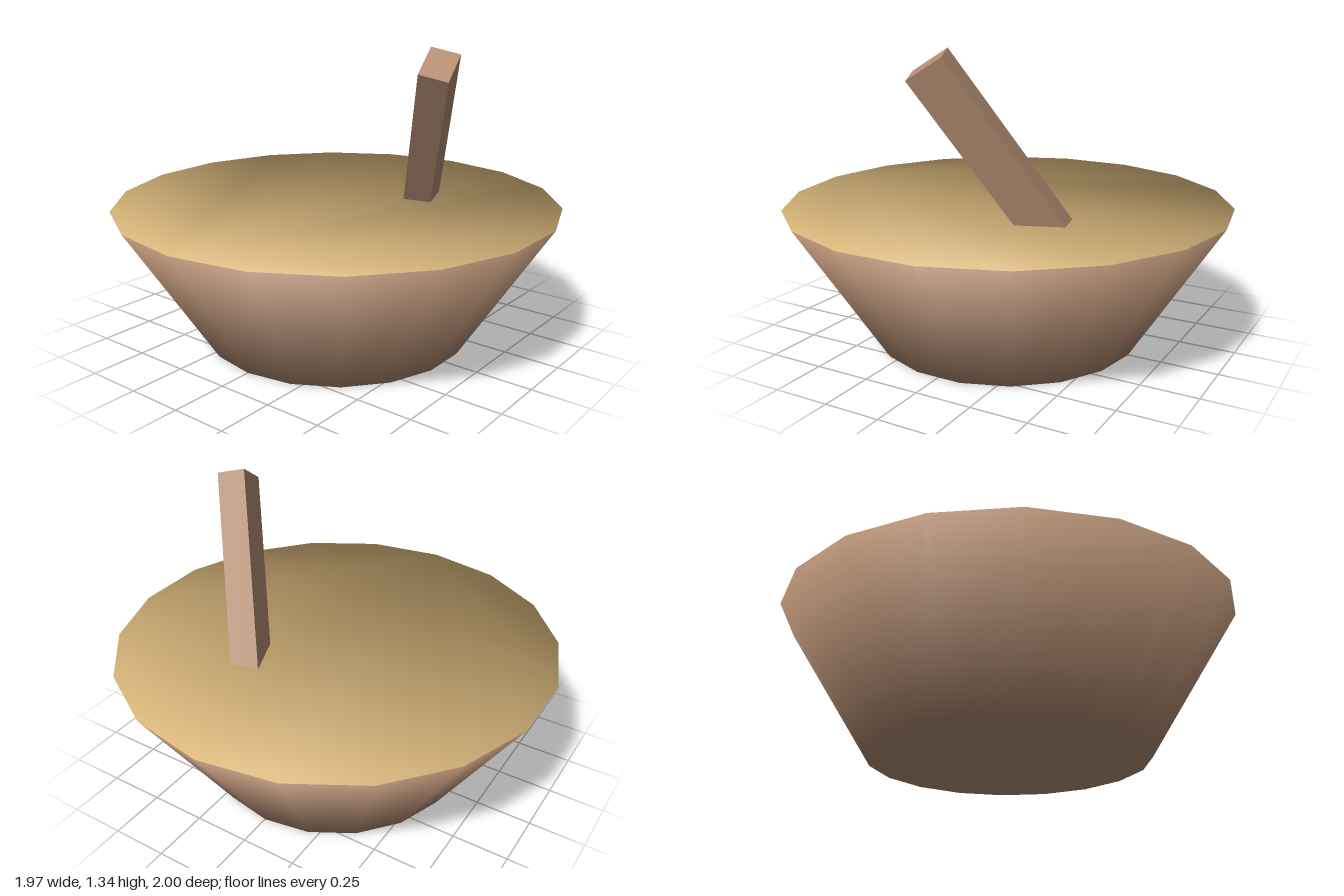
import * as THREE from 'three';

const SIDES = 18;

function flat(name, color) {
  const m = new THREE.MeshStandardMaterial({ color });
  m.name = name;
  return m;
}

// Closed tapered bowl; normals are shared across rim and base so every face shades softly
function bowlGeometry(topRadius, baseRadius, height) {
  const pos = [], nor = [], side = [], lid = [], base = [];
  for (const [r, y, out, up] of [[topRadius, height, 0.894, 0.447], [baseRadius, 0, 0.519, -0.855]]) {
    for (let i = 0; i < SIDES; i++) {
      const a = (i / SIDES) * Math.PI * 2;
      pos.push(Math.sin(a) * r, y, Math.cos(a) * r);
      nor.push(Math.sin(a) * out, up, Math.cos(a) * out);
    }
  }
  for (let i = 0; i < SIDES; i++) {
    const j = (i + 1) % SIDES;
    side.push(i, SIDES + i, j, j, SIDES + i, SIDES + j);
    if (i > 0 && i < SIDES - 1) {
      lid.push(0, i, j);
      base.push(SIDES, SIDES + j, SIDES + i);
    }
  }
  const g = new THREE.BufferGeometry();
  g.setAttribute('position', new THREE.Float32BufferAttribute(pos, 3));
  g.setAttribute('normal', new THREE.Float32BufferAttribute(nor, 3));
  g.setIndex([...side, ...base, ...lid]);
  g.addGroup(0, side.length + base.length, 0);
  g.addGroup(side.length + base.length, lid.length, 1);
  return g;
}

export function createModel() {
  const wood = flat('wood brown', 0xb48e73);
  const food = flat('filling tan', 0xe0bc7f);
  const group = new THREE.Group();
  group.name = 'filledBowl';

  // Bowl with its flat filling
  const bowl = new THREE.Mesh(bowlGeometry(1, 0.6, 0.625), [wood, food]);
  bowl.name = 'bowl';
  group.add(bowl);

  // Slanted handle, sunk into the filling
  const length = 1.1;
  const axis = new THREE.Vector3(0.37, 0.814, 0.447).normalize();
  const across = new THREE.Vector3(0.115, -0.023, -0.042);
  const depth = new THREE.Vector3().crossVectors(across, axis).normalize();
  across.crossVectors(axis, depth);
  const handle = new THREE.Mesh(new THREE.BoxGeometry(0.125, length, 0.176), wood);
  handle.name = 'spoonHandle';
  handle.quaternion.setFromRotationMatrix(new THREE.Matrix4().makeBasis(across, axis, depth));
  handle.position.set(0.555, 1.28, 0.05).addScaledVector(axis, -length / 2);
  group.add(handle);

  return group;
}
